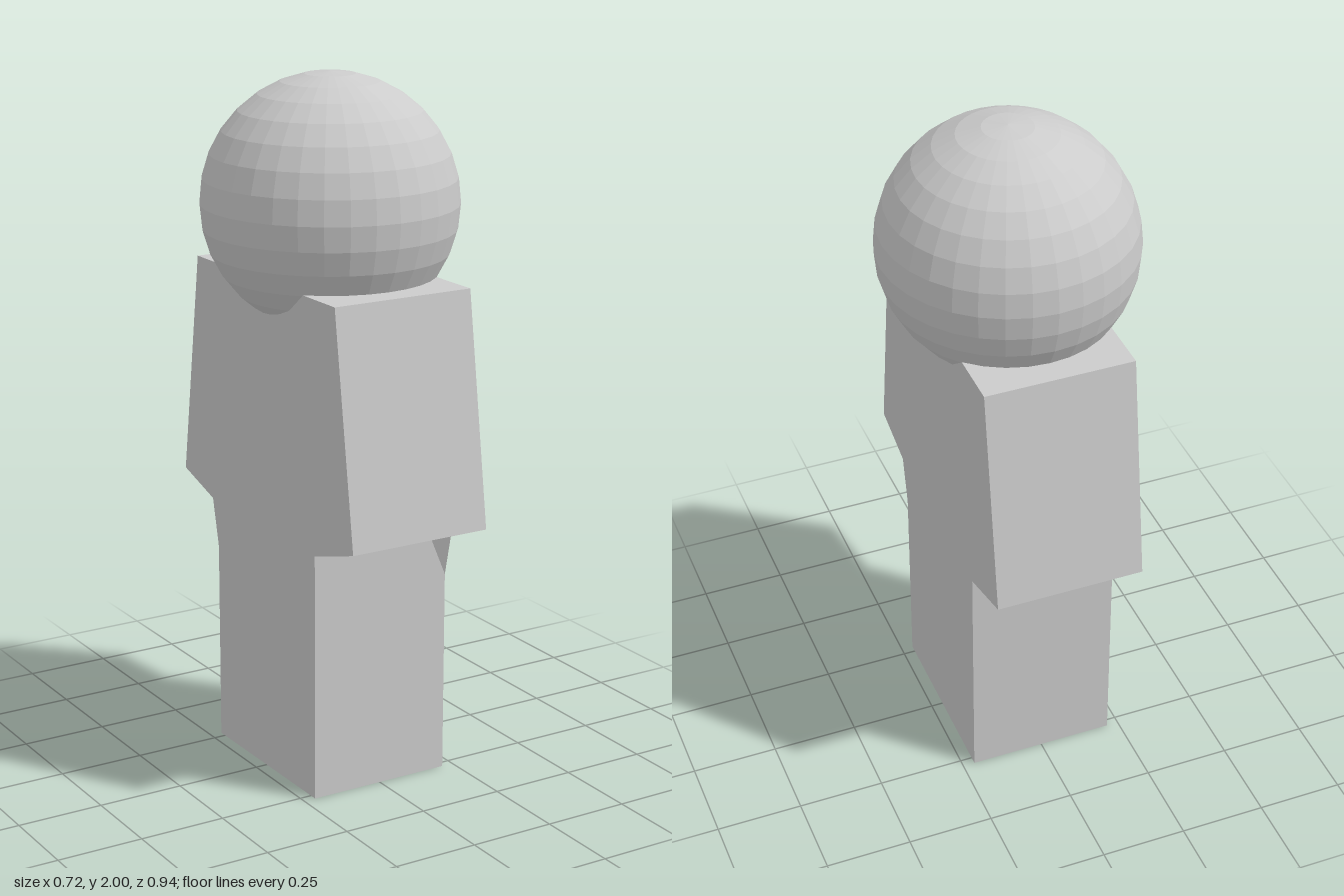
import * as THREE from 'three';
import { ConvexGeometry } from 'three/addons/geometries/ConvexGeometry.js';

const HALF_WIDTH = 0.215;

export function createModel() {
  const group = new THREE.Group();
  const material = new THREE.MeshStandardMaterial({ color: 0xcccccc, flatShading: true });
  const add = (name, geometry) => {
    const mesh = new THREE.Mesh(geometry, material);
    mesh.name = name;
    group.add(mesh);
    return mesh;
  };

  // Body: side outline (z, y) with sloping arms, extruded across the width
  const half = [[0.273, 0], [0.273, 0.72], [0.472, 0.78], [0.377, 1.44]];
  const outline = [...half, ...half.map(([z, y]) => [-z, y]).reverse()];
  const shape = new THREE.Shape(outline.map(([z, y]) => new THREE.Vector2(z, y)));
  const body = new THREE.ExtrudeGeometry(shape, { depth: HALF_WIDTH * 2, bevelEnabled: false });
  body.translate(0, 0, -HALF_WIDTH).rotateY(-Math.PI / 2);
  add('body', body);

  // Small flares under the arms, on two diagonally opposite corners
  const corner = [
    [HALF_WIDTH, 0.59, 0.273], [HALF_WIDTH, 0.73, 0.305],
    [HALF_WIDTH, 0.72, 0.273], [0.16, 0.72, 0.273],
  ].map((p) => new THREE.Vector3(...p));
  ['frontArmFlare', 'backArmFlare'].forEach((name, i) => {
    add(name, new ConvexGeometry(corner)).rotation.y = i * Math.PI;
  });

  // Head: faceted ball sunk into the shoulders
  add('head', new THREE.SphereGeometry(0.362, 32, 16)).position.y = 1.638;

  return group;
}
